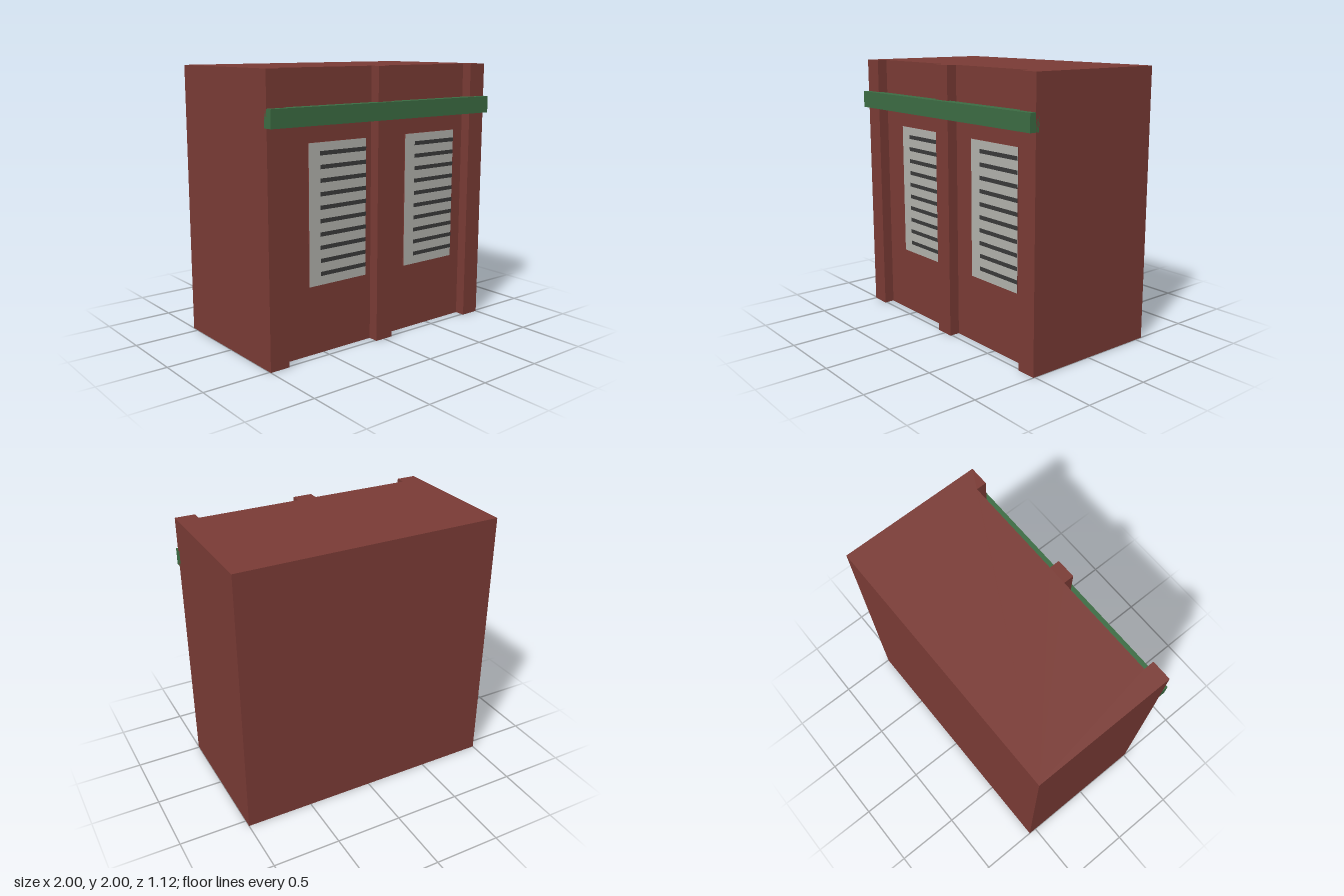
import * as THREE from 'three';

export function createModel() {
  const mat = (name, color) => {
    const m = new THREE.MeshStandardMaterial({ color });
    m.name = name;
    return m;
  };
  const brick = mat('brick red', 0x7a3b35);
  const green = mat('trim green', 0x3c6c43);
  const grey = mat('panel grey', 0xb2b2ac);
  const dark = mat('slot dark', 0x3a3a3a);

  const model = new THREE.Group();
  model.name = 'building';
  const add = (parent, name, geometry, material, x, y, z) => {
    const mesh = new THREE.Mesh(geometry, material);
    mesh.name = name;
    mesh.position.set(x, y, z);
    parent.add(mesh);
    return mesh;
  };

  const back = -0.56, wall = 0.435, pier = 0.513;

  // Body: floor plan with three front piers, extruded upward
  const plan = new THREE.Shape();
  plan.moveTo(-1, -back);
  plan.lineTo(-1, -pier);
  for (const [x, z] of [
    [-0.85, pier], [-0.85, wall], [-0.073, wall], [-0.073, pier],
    [0.073, pier], [0.073, wall], [0.85, wall], [0.85, pier], [1, pier],
  ]) plan.lineTo(x, -z);
  plan.lineTo(1, -back);
  plan.closePath();
  const bodyGeo = new THREE.ExtrudeGeometry(plan, { depth: 2, bevelEnabled: false });
  bodyGeo.rotateX(-Math.PI / 2);
  add(model, 'body', bodyGeo, brick, 0, 0, 0);

  // Horizontal beam across the piers
  add(model, 'beam', new THREE.BoxGeometry(2, 0.125, 0.075), green, 0, 1.69, 0.5235);

  // Louvred panels: grey face on a thin plate, with ten dark slots
  const plateGeo = new THREE.BoxGeometry(0.5, 1, 0.007);
  const plateMats = [brick, brick, brick, brick, grey, brick];
  const slotGeo = new THREE.PlaneGeometry(0.405, 0.03);
  [-0.375, 0.5].forEach((x, i) => {
    const vent = new THREE.Group();
    vent.name = i ? 'leftVent' : 'rightVent';
    vent.position.set(x, 1, wall);
    add(vent, 'panel', plateGeo, plateMats, 0, 0, 0.0035);
    for (let k = 0; k < 10; k++) {
      add(vent, 'slot', slotGeo, dark, 0.0475, 0.425 - k * 0.0939, 0.009);
    }
    model.add(vent);
  });

  return model;
}
